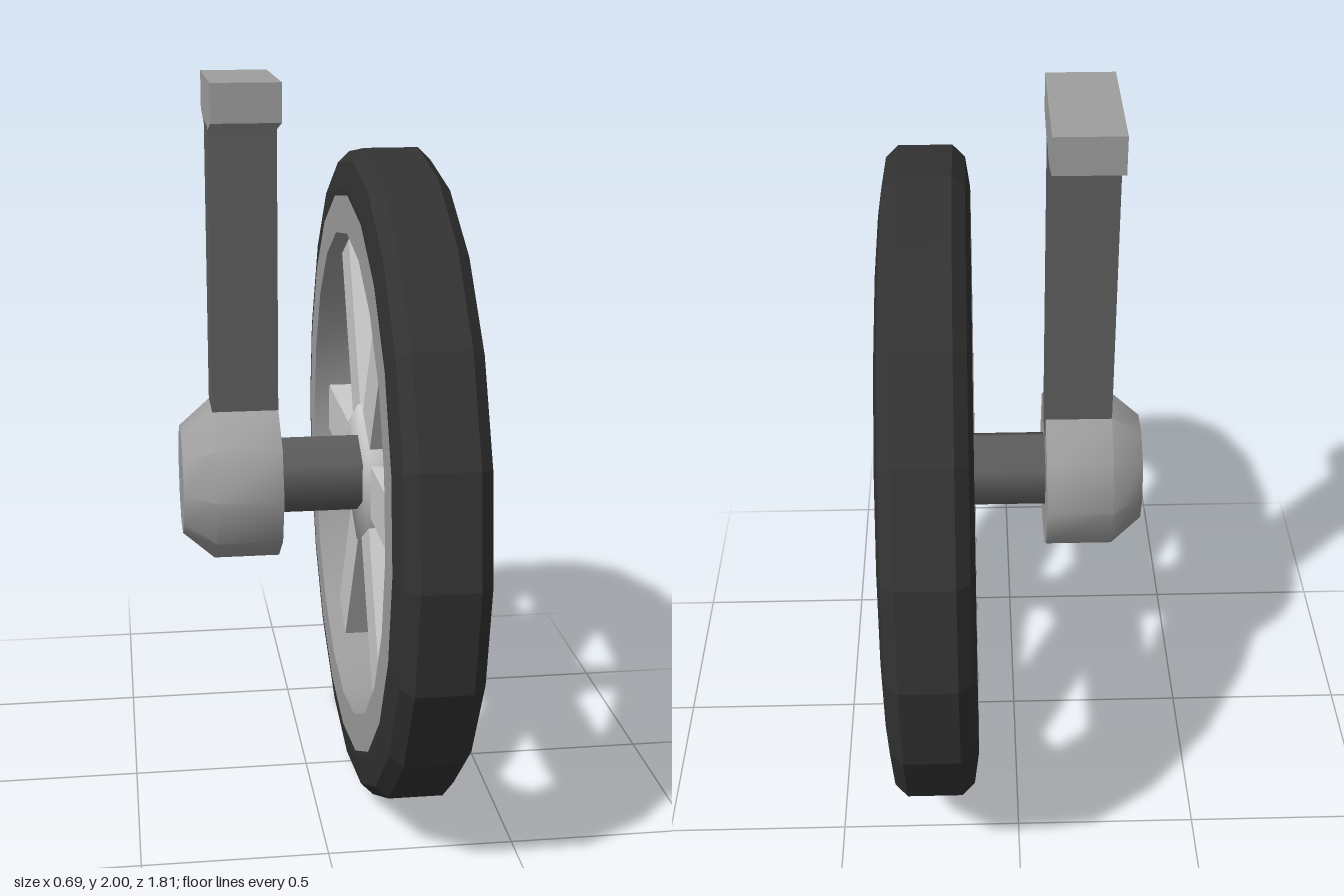
import * as THREE from 'three';
import { mergeVertices, toCreasedNormals } from 'three/addons/utils/BufferGeometryUtils.js';

const AXIS_Y = 0.905;   // height of the wheel axis
const WHEEL_X = 0.227;  // middle plane of the wheel
const POST_X = -0.175;  // middle plane of the support

const mat = (color, flatShading = false) => new THREE.MeshStandardMaterial({ color, flatShading });
const light = mat(0xcccccc);
const grey = mat(0x9e9e9e);
const dark = mat(0x5e5e5e);
const rubber = mat(0x323232, true);

function add(parent, name, geometry, material, x = 0, y = 0, z = 0) {
  const mesh = new THREE.Mesh(geometry, material);
  mesh.name = name;
  mesh.position.set(x, y, z);
  parent.add(mesh);
  return mesh;
}

// Lathe whose axis lies along x; points are [radius, offset along x]
function latheX(points, sides, start = 0) {
  const profile = points.map(([r, x]) => new THREE.Vector2(r, x));
  return new THREE.LatheGeometry(profile, sides, start).rotateZ(-Math.PI / 2);
}

export function createModel() {
  const model = new THREE.Group();
  model.name = 'wheelAssembly';

  const wheel = new THREE.Group();
  wheel.name = 'wheel';
  wheel.position.set(WHEEL_X, AXIS_Y, 0);
  model.add(wheel);

  // Tyre with rounded shoulders
  add(wheel, 'tyre', latheX([
    [0.78, -0.117], [0.795, -0.117], [0.873, -0.105], [0.905, -0.072],
    [0.905, 0.072], [0.873, 0.105], [0.795, 0.117], [0.78, 0.117],
  ], 20), rubber);

  // Rim: two flat side rings and the inner band
  const rim = latheX([[0.78, 0.117], [0.677, 0.117], [0.677, -0.117], [0.78, -0.117]], 20);
  add(wheel, 'rim', toCreasedNormals(rim, 0.5), grey);

  // Six spokes, each meeting a flat of the hub
  for (let i = 0; i < 6; i++) {
    const spoke = new THREE.BoxGeometry(0.12, 0.145, 0.54).translate(0, 0, 0.415);
    add(wheel, 'spoke', spoke, light, -0.012).rotation.x = (i * Math.PI) / 3;
  }

  // Six-sided hub with softened normals
  let hub = new THREE.CylinderGeometry(0.2, 0.2, 0.15, 6, 1, false, Math.PI / 2).rotateZ(-Math.PI / 2);
  hub.deleteAttribute('normal');
  hub.deleteAttribute('uv');
  hub = mergeVertices(hub);
  hub.computeVertexNormals();
  add(wheel, 'hub', hub, light, -0.007);

  // Axle between the hub and the housing
  const axle = new THREE.CylinderGeometry(0.11, 0.11, 0.28, 6, 1, false, Math.PI / 2).rotateZ(-Math.PI / 2);
  add(model, 'axle', axle, dark, 0.03, AXIS_Y);

  // Ten-sided housing with a tapered outer cap
  const housing = latheX([[0, -0.35], [0.15, -0.35], [0.222, -0.265], [0.222, -0.085], [0, -0.085]], 10);
  add(model, 'housing', toCreasedNormals(housing, 0.68), grey, 0, AXIS_Y);

  // Upright post
  add(model, 'post', new THREE.BoxGeometry(0.18, 0.85, 0.14), dark, POST_X, 1.455);

  // Mounting block, tapered underneath
  const outline = new THREE.Shape([
    [-0.07, 1.87], [0.07, 1.87], [0.194, 1.9], [0.194, 2], [-0.194, 2], [-0.194, 1.9],
  ].map(([z, y]) => new THREE.Vector2(z, y)));
  const block = new THREE.ExtrudeGeometry(outline, { depth: 0.18, bevelEnabled: false })
    .translate(0, 0, -0.09).rotateY(Math.PI / 2);
  add(model, 'mountingBlock', block, grey, POST_X);

  return model;
}
